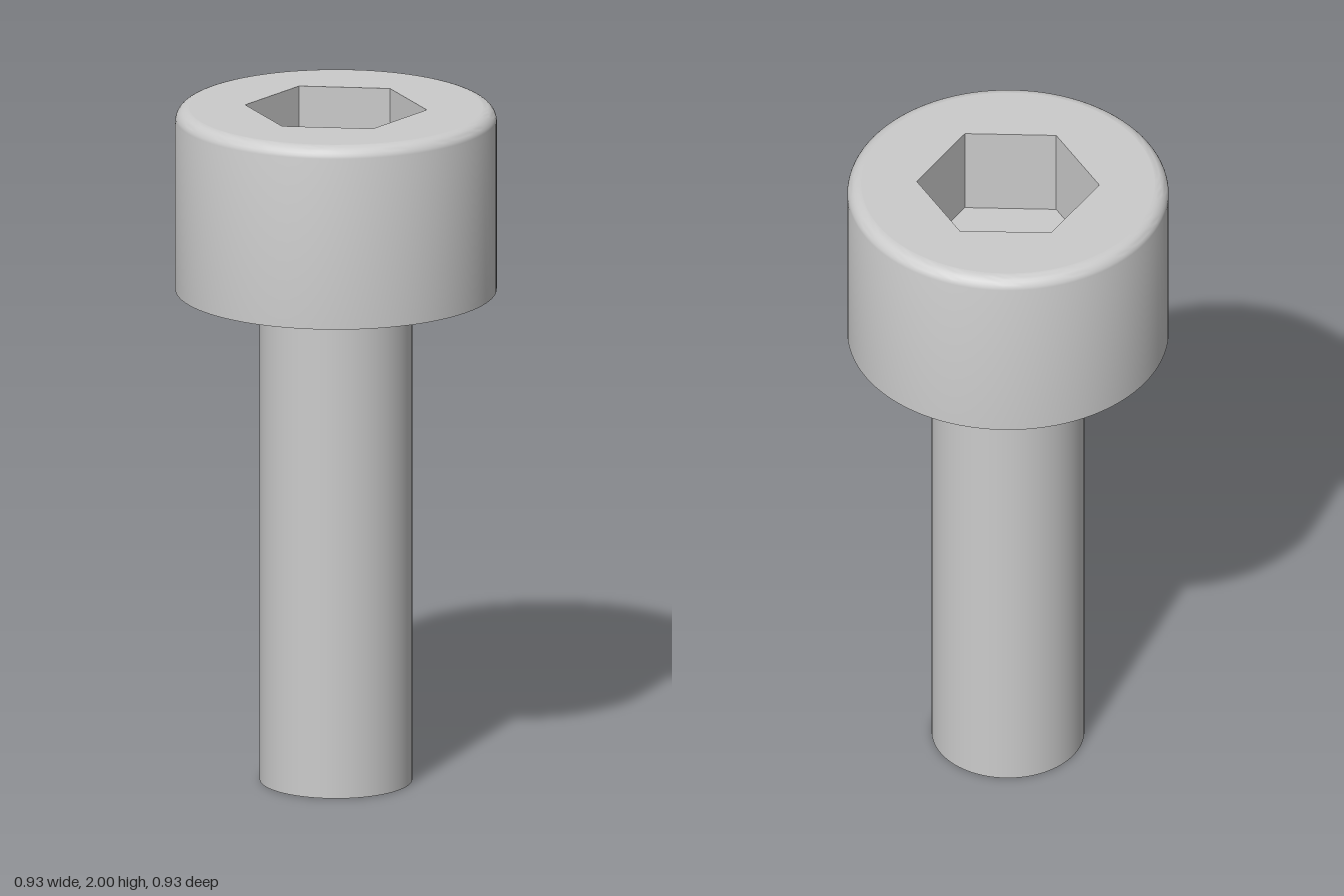
import * as THREE from 'three';
import { toCreasedNormals } from 'three/addons/utils/BufferGeometryUtils.js';

const SEGMENTS = 96;
const HEAD_R = 0.463, HEAD_BOTTOM = 1.46, TOP = 2, FILLET = 0.04;
const SHANK_R = 0.22;
const SOCKET_R = 0.263, SOCKET_DEPTH = 0.27;

// Points of a regular polygon, first corner on +x
function ring(radius, sides) {
  return Array.from({ length: sides }, (_, i) => {
    const a = (i / sides) * Math.PI * 2;
    return new THREE.Vector2(Math.cos(a) * radius, Math.sin(a) * radius);
  });
}

export function createModel() {
  const screw = new THREE.Group();
  screw.name = 'socketHeadScrew';
  const smooth = new THREE.MeshStandardMaterial({ color: 0xcccccc });
  const flat = new THREE.MeshStandardMaterial({ color: 0xcccccc, flatShading: true });

  function add(parent, name, geometry, material, y = 0) {
    const mesh = new THREE.Mesh(geometry, material);
    mesh.name = name;
    mesh.position.y = y;
    parent.add(mesh);
  }

  // Shank: plain cylinder closed at its tip
  const shank = new THREE.Group();
  shank.name = 'shank';
  screw.add(shank);
  add(shank, 'shankSide',
    new THREE.CylinderGeometry(SHANK_R, SHANK_R, HEAD_BOTTOM, SEGMENTS, 1, true), smooth, HEAD_BOTTOM / 2);
  add(shank, 'shankTip', new THREE.CircleGeometry(SHANK_R, SEGMENTS).rotateX(Math.PI / 2), smooth);

  // Head: underside, side wall and rounded top edge in one profile
  const head = new THREE.Group();
  head.name = 'head';
  screw.add(head);
  const profile = [new THREE.Vector2(SHANK_R, HEAD_BOTTOM), new THREE.Vector2(HEAD_R, HEAD_BOTTOM)];
  for (let i = 0; i <= 8; i++) {
    const a = (i / 8) * Math.PI / 2;
    profile.push(new THREE.Vector2(
      HEAD_R - FILLET + FILLET * Math.cos(a), TOP - FILLET + FILLET * Math.sin(a)));
  }
  add(head, 'headBody', toCreasedNormals(new THREE.LatheGeometry(profile, SEGMENTS), 0.5), smooth);

  // Flat top face with the hexagonal opening
  const face = new THREE.Shape(ring(HEAD_R - FILLET, SEGMENTS));
  face.holes.push(new THREE.Path(ring(SOCKET_R, 6).reverse()));
  add(head, 'headTop', new THREE.ShapeGeometry(face).rotateX(-Math.PI / 2), flat, TOP);

  // Hex socket: mirrored so that its walls face inward, plus a flat floor
  const walls = new THREE.CylinderGeometry(SOCKET_R, SOCKET_R, SOCKET_DEPTH, 6, 1, true)
    .rotateY(Math.PI / 6).scale(-1, 1, 1).toNonIndexed();
  walls.computeVertexNormals();
  add(head, 'socketWalls', walls, flat, TOP - SOCKET_DEPTH / 2);
  add(head, 'socketFloor', new THREE.CircleGeometry(SOCKET_R, 6).rotateX(-Math.PI / 2), flat, TOP - SOCKET_DEPTH);

  return screw;
}
